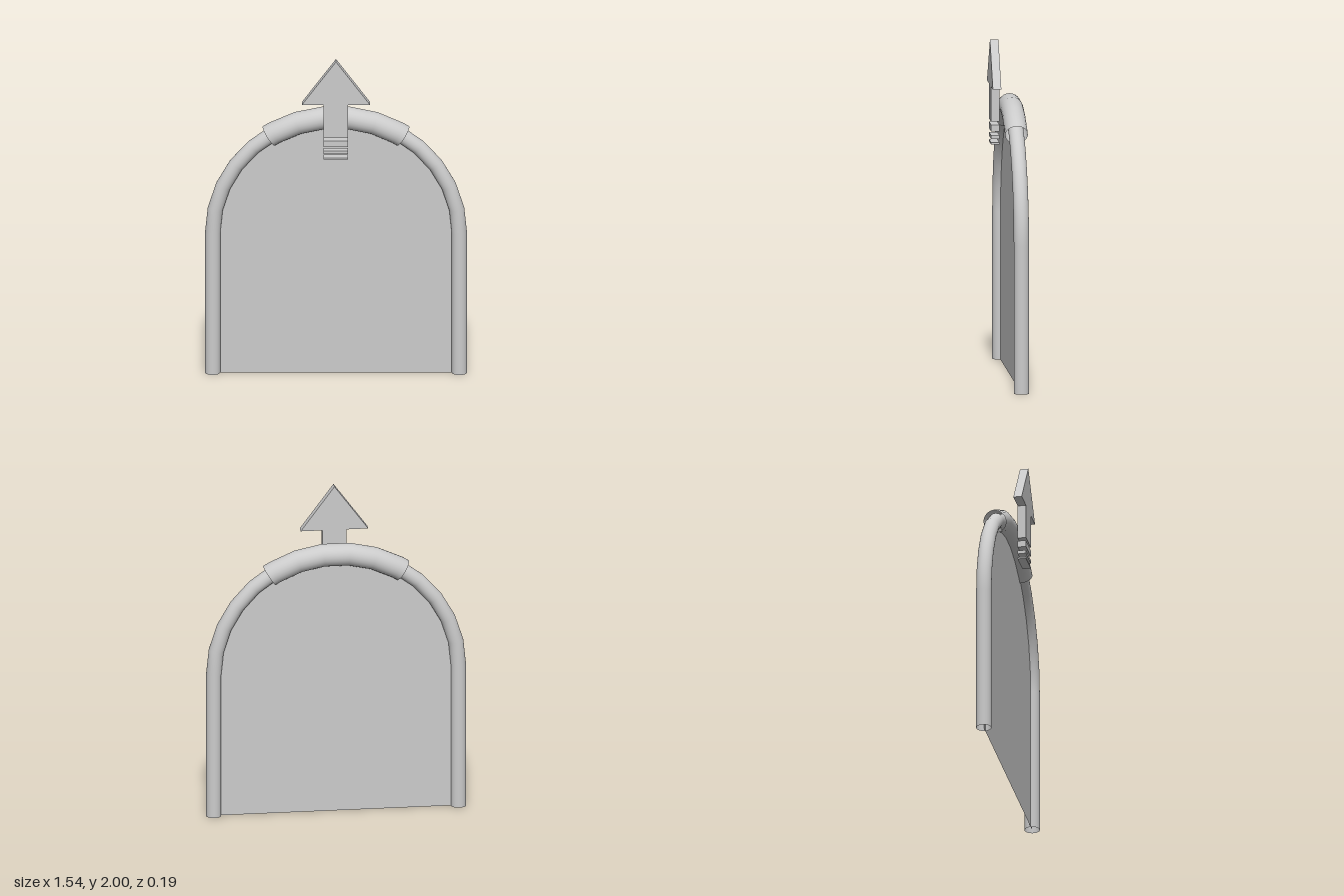
import * as THREE from 'three';

const ARC_Y = 0.88;      // height of the arch centre
const ARC_R = 0.725;     // radius of the arch centreline
const HOOP_Z = -0.026;   // plane of the hoop
const RAD = Math.PI / 180;

const solid = new THREE.MeshStandardMaterial({ color: 0xcccccc });
const open = new THREE.MeshStandardMaterial({ color: 0xcccccc, side: THREE.DoubleSide });

// A ring station on the arch: centre and outward direction, angle measured from +x.
function archStation(deg) {
  const dir = new THREE.Vector2(Math.cos(deg * RAD), Math.sin(deg * RAD));
  return { x: dir.x * ARC_R, y: ARC_Y + dir.y * ARC_R, dir };
}

// Open-ended round tube swept through the stations, with smooth normals.
function sweep(stations, radius, sides = 24) {
  const pos = [], normal = [], index = [];
  stations.forEach(({ x, y, dir }, i) => {
    for (let j = 0; j < sides; j++) {
      const a = (j / sides) * Math.PI * 2;
      const c = Math.cos(a), s = Math.sin(a);
      pos.push(x + dir.x * c * radius, y + dir.y * c * radius, HOOP_Z + s * radius);
      normal.push(dir.x * c, dir.y * c, s);
      if (i === 0) continue;
      const k = (j + 1) % sides;
      const p = (i - 1) * sides, q = i * sides;
      index.push(p + j, p + k, q + j, p + k, q + k, q + j);
    }
  });
  // The path runs counter-clockwise, so reverse each face to point outward.
  for (let i = 0; i < index.length; i += 3) [index[i + 1], index[i + 2]] = [index[i + 2], index[i + 1]];
  const geo = new THREE.BufferGeometry();
  geo.setAttribute('position', new THREE.Float32BufferAttribute(pos, 3));
  geo.setAttribute('normal', new THREE.Float32BufferAttribute(normal, 3));
  geo.setIndex(index);
  return geo;
}

export function createModel() {
  const model = new THREE.Group();
  model.name = 'archedPanelWithArrow';
  const add = (name, geometry, material) => {
    const mesh = new THREE.Mesh(geometry, material);
    mesh.name = name;
    model.add(mesh);
    return mesh;
  };

  // Hoop: two straight legs joined by an arch of fifteen segments
  const arch = [];
  for (let a = 0; a <= 180; a += 12) arch.push(archStation(a));
  const first = arch[0], last = arch[arch.length - 1];
  const path = [{ ...first, y: 0 }, ...arch, { ...last, y: 0 }];
  add('hoopTube', sweep(path, 0.045), open);

  // Grip sleeve around the top of the hoop
  const gripAngles = [57, 60, 72, 84, 96, 108, 120, 123];
  add('gripSleeve', sweep(gripAngles.map(archStation), 0.067), open);

  // Thin panel filling the hoop
  const outline = new THREE.Shape(path.map(p => new THREE.Vector2(p.x, p.y)));
  add('panel', new THREE.ShapeGeometry(outline), open).position.z = HOOP_Z;

  // Arrow in front of the grip
  const depth = 0.05, front = 0.046, shaft = 0.072;
  const half = [[shaft, 1.522], [shaft, 1.73], [0.2, 1.73]];
  const arrow = new THREE.Shape([
    ...half, [0, 2], ...half.map(([x, y]) => [-x, y]).reverse(),
  ].map(([x, y]) => new THREE.Vector2(x, y)));
  add('arrow', new THREE.ExtrudeGeometry(arrow, { depth, bevelEnabled: false }), solid).position.z = front;

  // Fading tail bars below the arrow
  [[1.464, 1.503], [1.42, 1.44], [1.387, 1.397]].forEach(([low, high], i) => {
    const bar = add(`tailBar${i + 1}`, new THREE.BoxGeometry(shaft * 2, high - low, depth), solid);
    bar.position.set(0, (low + high) / 2, front + depth / 2);
  });

  return model;
}
